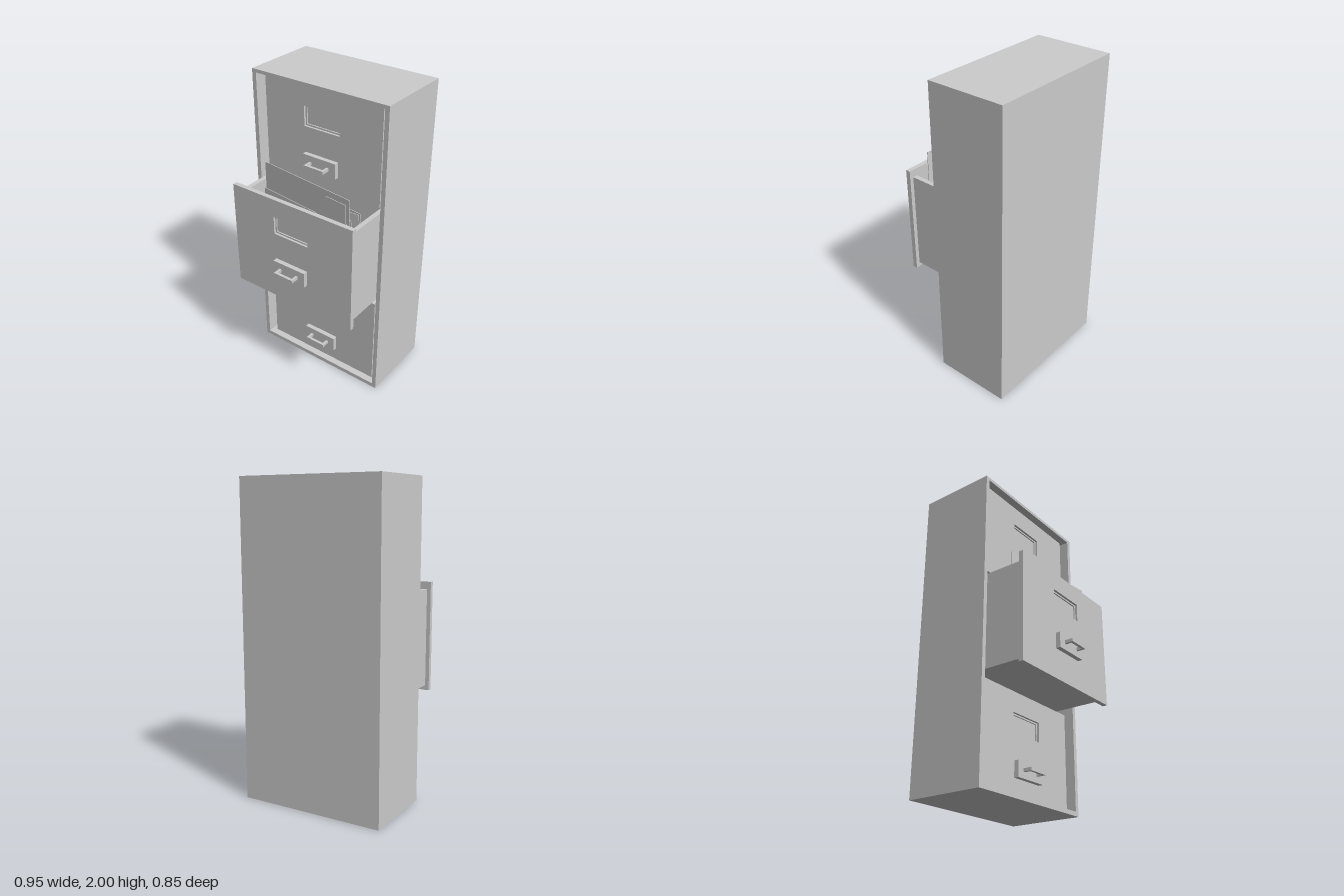
import * as THREE from 'three';

const grey = new THREE.MeshStandardMaterial({ color: 0xcccccc, flatShading: true });
const sheetGrey = new THREE.MeshStandardMaterial({ color: 0xcccccc, flatShading: true, side: THREE.DoubleSide });

function add(parent, name, geometry, material = grey) {
  const mesh = new THREE.Mesh(geometry, material);
  mesh.name = name;
  parent.add(mesh);
  return mesh;
}

// Box given by its minimum and maximum corners
function box(parent, name, x0, x1, y0, y1, z0, z1) {
  const mesh = add(parent, name, new THREE.BoxGeometry(x1 - x0, y1 - y0, z1 - z0));
  mesh.position.set((x0 + x1) / 2, (y0 + y1) / 2, (z0 + z1) / 2);
  return mesh;
}

function polygon(points) {
  return new THREE.Shape(points.map(([x, y]) => new THREE.Vector2(x, y)));
}

const rect = (x0, x1, y0, y1) => [[x0, y0], [x1, y0], [x1, y1], [x0, y1]];

// Rectangular plate with a rectangular opening, lying between z0 and z1
function frame(parent, name, outer, inner, z0, z1) {
  const shape = polygon(rect(...outer));
  shape.holes.push(polygon(rect(...inner)));
  const geometry = new THREE.ExtrudeGeometry(shape, { depth: z1 - z0, bevelEnabled: false });
  return add(parent, name, geometry.translate(0, 0, z0));
}

// Drawer: z is the front face of its panel
function drawer(name, { z, halfWidth, bottom, top, boxHalf, boxBottom, boxTop, handleY, labelY, labelHeight }) {
  const group = new THREE.Group();
  group.name = name;
  const back = z - 0.03;

  // Front panel with a recessed label pocket
  const h = labelHeight / 2;
  const pocket = [-0.127, 0.127, labelY - h, labelY + h];
  frame(group, 'frontPanel', [-halfWidth, halfWidth, bottom, top], pocket, back, z);
  box(group, 'labelBacking', ...pocket, back, back + 0.008);
  frame(group, 'labelFrame', pocket, [-0.118, 0.118, labelY - h + 0.01, labelY + h - 0.01], back + 0.008, back + 0.016);

  // Handle plate and U-shaped pull
  box(group, 'handlePlate', -0.118, 0.118, handleY - 0.05, handleY + 0.05, z, z + 0.03);
  for (const s of [-1, 1]) {
    box(group, 'handlePost', s * 0.0625 - 0.0075, s * 0.0625 + 0.0075, handleY - 0.01, handleY + 0.01, z + 0.03, z + 0.085);
  }
  box(group, 'handleBar', -0.055, 0.055, handleY - 0.01, handleY + 0.01, z + 0.067, z + 0.085);

  // Open-topped box behind the panel
  const rear = back - 0.39;
  const inner = boxHalf - 0.03;
  for (const s of [-1, 1]) {
    const mid = s * (boxHalf - 0.015);
    box(group, 'drawerSide', mid - 0.015, mid + 0.015, boxBottom, boxTop, rear, back);
  }
  box(group, 'drawerBack', -inner, inner, boxBottom, boxTop, rear, rear + 0.03);
  box(group, 'drawerBottom', -inner, inner, boxBottom, boxBottom + 0.02, rear + 0.03, back);
  box(group, 'drawerFloor', -inner + 0.043, inner - 0.043, boxBottom + 0.02, boxBottom + 0.03, rear + 0.05, back - 0.02);
  return group;
}

// Upright sheet between two points in plan, with an optional raised tab
function sheet(parent, name, [xa, za], [xb, zb], bottom, top, tabTop) {
  const length = Math.hypot(xb - xa, zb - za);
  const points = [[0, bottom], [length, bottom], [length, top]];
  if (tabTop) {
    points.push([length - 0.01, top], [length - 0.02, tabTop], [length - 0.17, tabTop], [length - 0.24, top]);
  }
  points.push([0, top]);
  const geometry = new THREE.ExtrudeGeometry(polygon(points), { depth: 0.004, bevelEnabled: false });
  const mesh = add(parent, name, geometry, sheetGrey);
  mesh.position.set(xa, 0, za);
  mesh.rotation.y = -Math.atan2(zb - za, xb - xa);
}

export function createModel() {
  const model = new THREE.Group();
  model.name = 'filingCabinet';

  // Cabinet shell, closed at the back
  frame(model, 'cabinetShell', [-0.474, 0.474, 0, 2], [-0.446, 0.446, 0.028, 1.979], -0.397, 0.08);
  box(model, 'cabinetBack', -0.474, 0.474, 0, 2, -0.425, -0.397);

  // Two closed drawers, set back from the cabinet edge
  for (const [name, y] of [['bottomDrawer', 0.03], ['topDrawer', 1.35]]) {
    model.add(drawer(name, {
      z: 0.036, halfWidth: 0.413, bottom: y, top: y + 0.62,
      boxHalf: 0.413, boxBottom: y, boxTop: y + 0.62,
      handleY: y + 0.15, labelY: y + 0.427, labelHeight: 0.125,
    }));
  }

  // Pulled-out middle drawer
  const open = drawer('middleDrawer', {
    z: 0.34, halfWidth: 0.44, bottom: 0.66, top: 1.36,
    boxHalf: 0.415, boxBottom: 0.69, boxTop: 1.313,
    handleY: 0.9, labelY: 1.183, labelHeight: 0.115,
  });
  model.add(open);

  // Folders standing askew in the open drawer
  sheet(open, 'tallSheet', [-0.325, 0.166], [0.35, 0.244], 0.72, 1.475);
  sheet(open, 'frontFolder', [-0.33, 0.176], [0.345, 0.252], 0.72, 1.3, 1.44);
  sheet(open, 'middleFolder', [-0.335, 0.13], [0.335, 0.178], 0.72, 1.2, 1.3);
  sheet(open, 'rearFolder', [-0.335, 0.108], [0.335, 0.1], 0.72, 1.2, 1.3);
  sheet(open, 'backFolder', [-0.335, 0.01], [0.335, 0.086], 0.72, 1.2, 1.3);

  return model;
}
